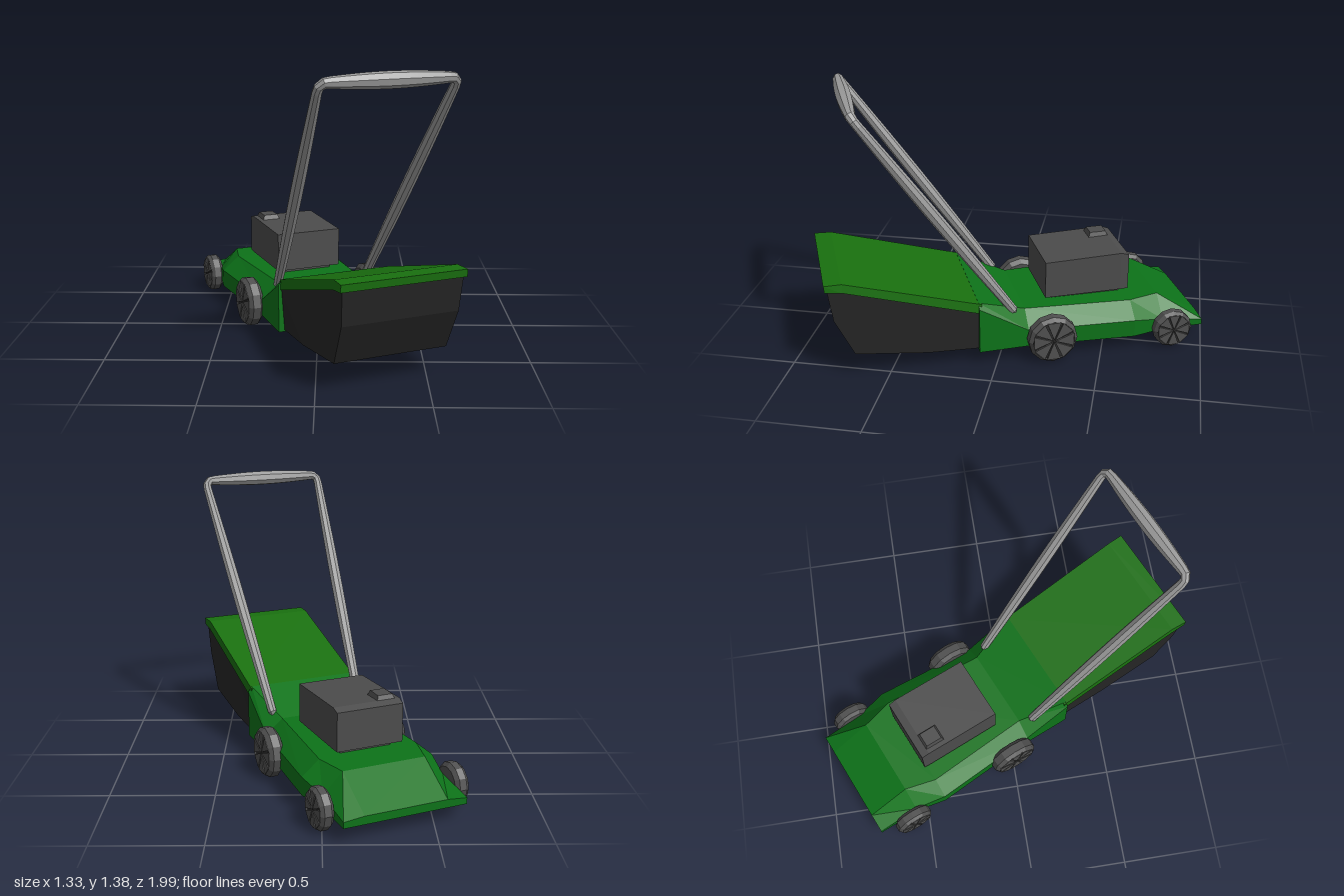
import * as THREE from 'three';

const mat = (color) => new THREE.MeshStandardMaterial({ color, flatShading: true });
const deckGreen = mat(0x0d7319), lidGreen = mat(0x19700f), bagBlack = mat(0x262626);
const darkGrey = mat(0x4c4c4c), tyreGrey = mat(0x505050), slitGrey = mat(0x2c2c2c), steel = mat(0x9c9c9c);

function mesh(name, geometry, material) {
  const m = new THREE.Mesh(geometry, material);
  m.name = name;
  return m;
}

// Closed skin through rings of [x, y, z] points (counter-clockwise seen from +z)
function loft(rings) {
  const n = rings[0].length, index = [];
  for (let i = 0; i < rings.length - 1; i++) {
    for (let j = 0; j < n; j++) {
      const k = (j + 1) % n, a = i * n + j, b = i * n + k;
      index.push(a, b, b + n, a, b + n, a + n);
    }
  }
  const last = (rings.length - 1) * n;
  for (let j = 1; j < n - 1; j++) index.push(0, j + 1, j, last, last + j, last + j + 1);
  const g = new THREE.BufferGeometry();
  g.setAttribute('position', new THREE.Float32BufferAttribute(rings.flat(2), 3));
  g.setIndex(index);
  const flat = g.toNonIndexed();
  flat.computeVertexNormals();
  return flat;
}

// Deck station: outer half width, skirt height, inner half width, top height
const deckRing = ([z, out, skirt, inner, top]) => [
  [-out, 0.075, z], [out, 0.075, z], [out, skirt, z],
  [inner, top, z], [-inner, top, z], [-out, skirt, z],
];

// Four-cornered station: bottom (z, y, half width) and top (z, y, half width)
const boxRing = ([zb, yb, hb, zt, yt, ht]) => [
  [-hb, yb, zb], [hb, yb, zb], [ht, yt, zt], [-ht, yt, zt],
];

// Wheel facing +z, with a recessed hub and wedge-shaped spokes
function wheel(name, r, t) {
  const g = new THREE.Group();
  g.name = name;
  const profile = [
    [0, -t / 2], [0.82 * r, -t / 2], [r, -t / 4], [r, t / 4],
    [0.86 * r, t / 2], [0.84 * r, t / 2 - 0.008],
  ].map(([x, y]) => new THREE.Vector2(x, y));
  g.add(mesh('tyre', new THREE.LatheGeometry(profile, 12).rotateX(Math.PI / 2), tyreGrey));
  const hub = mesh('hub', new THREE.CircleGeometry(0.86 * r, 12), slitGrey);
  hub.position.z = t / 2 - 0.008;
  g.add(hub);
  const half = Math.PI / 8 - 0.06, R = 0.86 * r;
  const wedge = new THREE.Shape([
    new THREE.Vector2(0.05 * r, 0),
    new THREE.Vector2(R * Math.cos(half), -R * Math.sin(half)),
    new THREE.Vector2(R * Math.cos(half), R * Math.sin(half)),
  ]);
  const wedgeGeo = new THREE.ExtrudeGeometry(wedge, { depth: 0.009, bevelEnabled: false });
  for (let i = 0; i < 8; i++) {
    const spoke = mesh('spoke', wedgeGeo, tyreGrey);
    spoke.position.z = t / 2 - 0.008;
    spoke.rotation.z = (i * Math.PI) / 4;
    g.add(spoke);
  }
  return g;
}

// Bent tube handle, swollen in the middle of each leg and of the grip
function handleGeometry() {
  const v = (x, y, z) => new THREE.Vector3(x, y, z);
  const bases = [v(-0.24, 0.235, 0.02), v(0.24, 0.235, 0.02)];
  const corners = [v(-0.327, 1.345, 0.78), v(0.327, 1.345, 0.78)];
  const down = corners.map((c, i) => c.clone().lerp(bases[i], 0.035));
  const along = [corners[0].clone().lerp(corners[1], 0.06), corners[1].clone().lerp(corners[0], 0.06)];
  const path = new THREE.CurvePath();
  path.add(new THREE.LineCurve3(bases[0], down[0]));
  path.add(new THREE.QuadraticBezierCurve3(down[0], corners[0], along[0]));
  path.add(new THREE.LineCurve3(along[0], along[1]));
  path.add(new THREE.QuadraticBezierCurve3(along[1], corners[1], down[1]));
  path.add(new THREE.LineCurve3(down[1], bases[1]));
  const segs = 120, sides = 8, leg = 0.4;
  const g = new THREE.TubeGeometry(path, segs, 1, sides);
  const pos = g.attributes.position, p = new THREE.Vector3();
  for (let i = 0; i <= segs; i++) {
    const t = i / segs, centre = path.getPointAt(t), e = Math.min(t, 1 - t);
    let r = e < leg
      ? 0.022 + 0.009 * Math.sin((Math.PI * e) / leg)
      : 0.022 + 0.016 * Math.sin((Math.PI * (t - leg)) / (1 - 2 * leg));
    if (i === 0 || i === segs) r = 0;
    for (let j = 0; j <= sides; j++) {
      const k = i * (sides + 1) + j;
      p.fromBufferAttribute(pos, k).sub(centre).multiplyScalar(r).add(centre);
      pos.setXYZ(k, p.x, p.y, p.z);
    }
  }
  g.computeVertexNormals();
  return g;
}

export function createModel() {
  const model = new THREE.Group();
  model.name = 'lawnMower';
  const body = new THREE.Group();
  body.name = 'mower';
  body.rotation.y = THREE.MathUtils.degToRad(23.3);
  body.position.set(0.007, 0, -0.003);
  model.add(body);

  // Deck: sloping nose, wide middle, raised rear
  body.add(mesh('deck', loft([
    [-0.955, 0.305, 0.105, 0.205, 0.115],
    [-0.736, 0.305, 0.135, 0.208, 0.235],
    [-0.575, 0.338, 0.165, 0.25, 0.238],
    [-0.03, 0.302, 0.165, 0.215, 0.242],
    [0.22, 0.305, 0.315, 0.285, 0.342],
  ].map(deckRing)), deckGreen));

  // Engine with its base and fuel cap
  const base = mesh('engineBase', new THREE.BoxGeometry(0.26, 0.06, 0.36), darkGrey);
  base.position.set(0.005, 0.245, -0.37);
  body.add(base);
  body.add(mesh('engine', loft([
    [-0.59, 0.262, 0.168, -0.59, 0.452, 0.168],
    [-0.55, 0.262, 0.17, -0.55, 0.466, 0.17],
    [-0.15, 0.262, 0.17, -0.15, 0.457, 0.17],
  ].map(boxRing)), darkGrey));
  const cap = mesh('fuelCap', new THREE.CylinderGeometry(0.052, 0.068, 0.03, 4, 1).rotateY(Math.PI / 4), darkGrey);
  cap.position.set(-0.1, 0.472, -0.498);
  cap.scale.z = 1.15;
  body.add(cap);

  // Grass bag and its lid
  body.add(mesh('grassBag', loft([
    [0.2, 0.082, 0.275, 0.2, 0.3, 0.29],
    [0.47, 0.095, 0.278, 0.5, 0.39, 0.29],
    [0.826, 0.137, 0.275, 0.86, 0.497, 0.288],
    [0.917, 0.335, 0.281, 0.94, 0.505, 0.288],
  ].map(boxRing)), bagBlack));
  body.add(mesh('bagLid', loft([
    [0.205, 0.285, 0.296, 0.205, 0.336, 0.292],
    [0.87, 0.488, 0.3, 0.87, 0.532, 0.296],
    [0.95, 0.497, 0.3, 0.954, 0.533, 0.3],
  ].map(boxRing)), lidGreen));

  body.add(mesh('handle', handleGeometry(), steel));

  // Wheels, mirrored left and right
  for (const side of [-1, 1]) {
    for (const [name, r, t, z] of [['frontWheel', 0.1, 0.068, -0.775], ['rearWheel', 0.125, 0.08, -0.142]]) {
      const w = wheel(name, r, t);
      w.position.set(side * (0.371 - t / 2), r, z);
      w.rotation.y = (side * Math.PI) / 2;
      body.add(w);
    }
  }
  return model;
}
